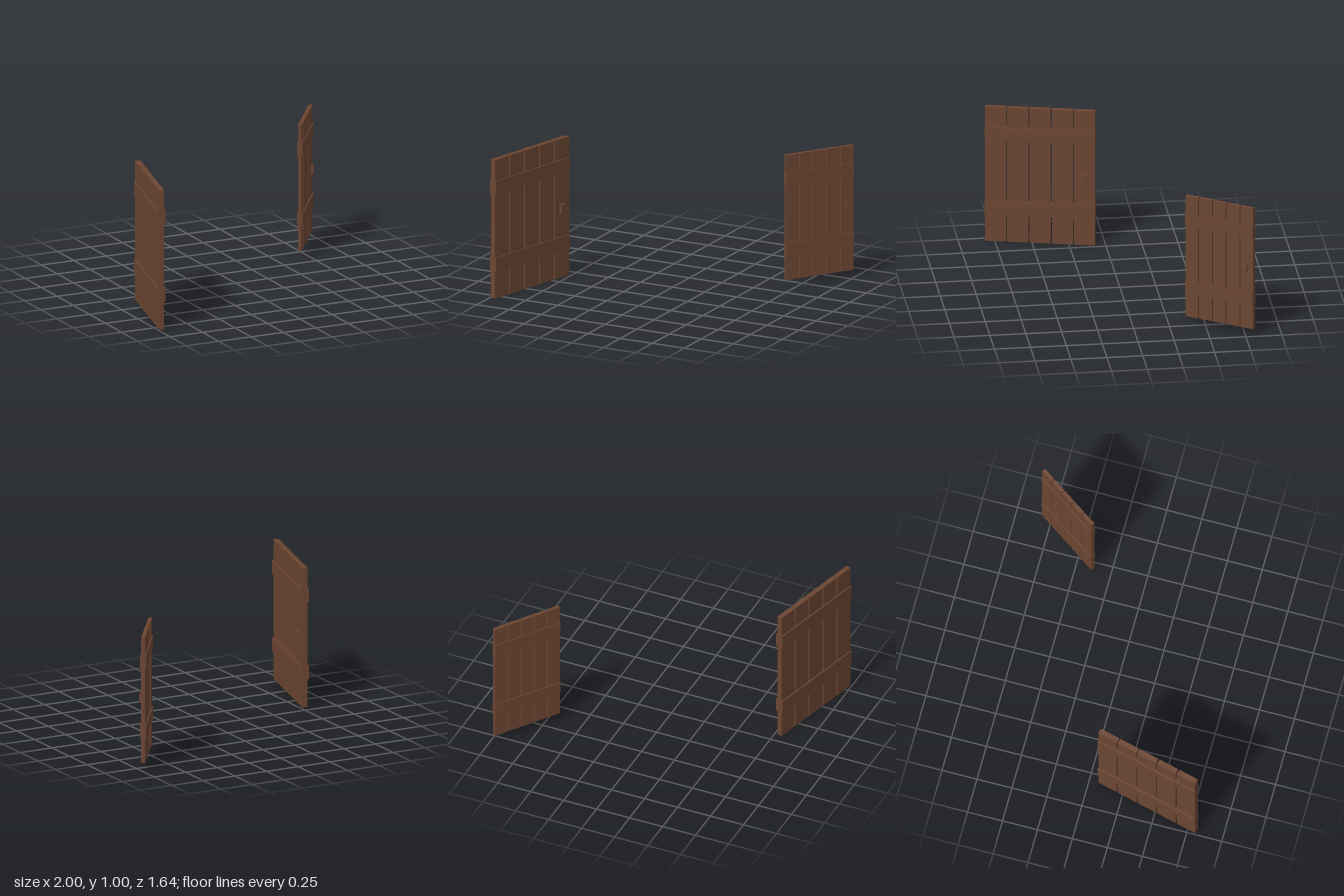
import * as THREE from 'three';

const wood = new THREE.MeshStandardMaterial({ color: 0x6b4531, flatShading: true });

function addBox(parent, name, size, position) {
  const mesh = new THREE.Mesh(new THREE.BoxGeometry(...size), wood);
  mesh.name = name;
  mesh.position.set(...position);
  parent.add(mesh);
}

// One plank shutter: length along local x, outer face towards local +z
function makeShutter(o) {
  const shutter = new THREE.Group();
  shutter.name = o.name;
  const count = 5;
  const plankWidth = (o.length - o.gap * (count - 1)) / count;

  // Upright planks with narrow gaps
  for (let i = 0; i < count; i++) {
    const x = (i - (count - 1) / 2) * (plankWidth + o.gap);
    addBox(shutter, 'plank' + (i + 1), [plankWidth, o.height, o.thickness], [x, 0.5, 0]);
  }

  // Cross battens wrapping both faces
  o.battens.forEach(([low, high], i) => {
    addBox(shutter, i ? 'upperBatten' : 'lowerBatten',
      [o.length, high - low, o.battenThickness], [0, (low + high) / 2, 0]);
  });

  // Small pull handle near the free edge
  const h = o.handle;
  addBox(shutter, 'handle', [h.width, h.height, h.out], [h.x, 0.5, h.out / 2]);

  shutter.position.set(o.x, 0, o.z);
  shutter.rotation.y = THREE.MathUtils.degToRad(90 - o.angle);
  return shutter;
}

export function createModel() {
  const model = new THREE.Group();
  model.name = 'shutterPair';
  model.add(makeShutter({
    name: 'largeShutter', x: -0.88, z: 0.441, angle: 14,
    length: 0.766, height: 1, thickness: 0.037, gap: 0.01,
    battenThickness: 0.057, battens: [[0.197, 0.297], [0.753, 0.85]],
    handle: { x: 0.304, width: 0.04, height: 0.064, out: 0.043 },
  }));
  model.add(makeShutter({
    name: 'smallShutter', x: 0.831, z: -0.592, angle: 34.6,
    length: 0.525, height: 0.9, thickness: 0.026, gap: 0.008,
    battenThickness: 0.04, battens: [[0.225, 0.316], [0.729, 0.82]],
    handle: { x: 0.206, width: 0.03, height: 0.057, out: 0.031 },
  }));
  return model;
}
